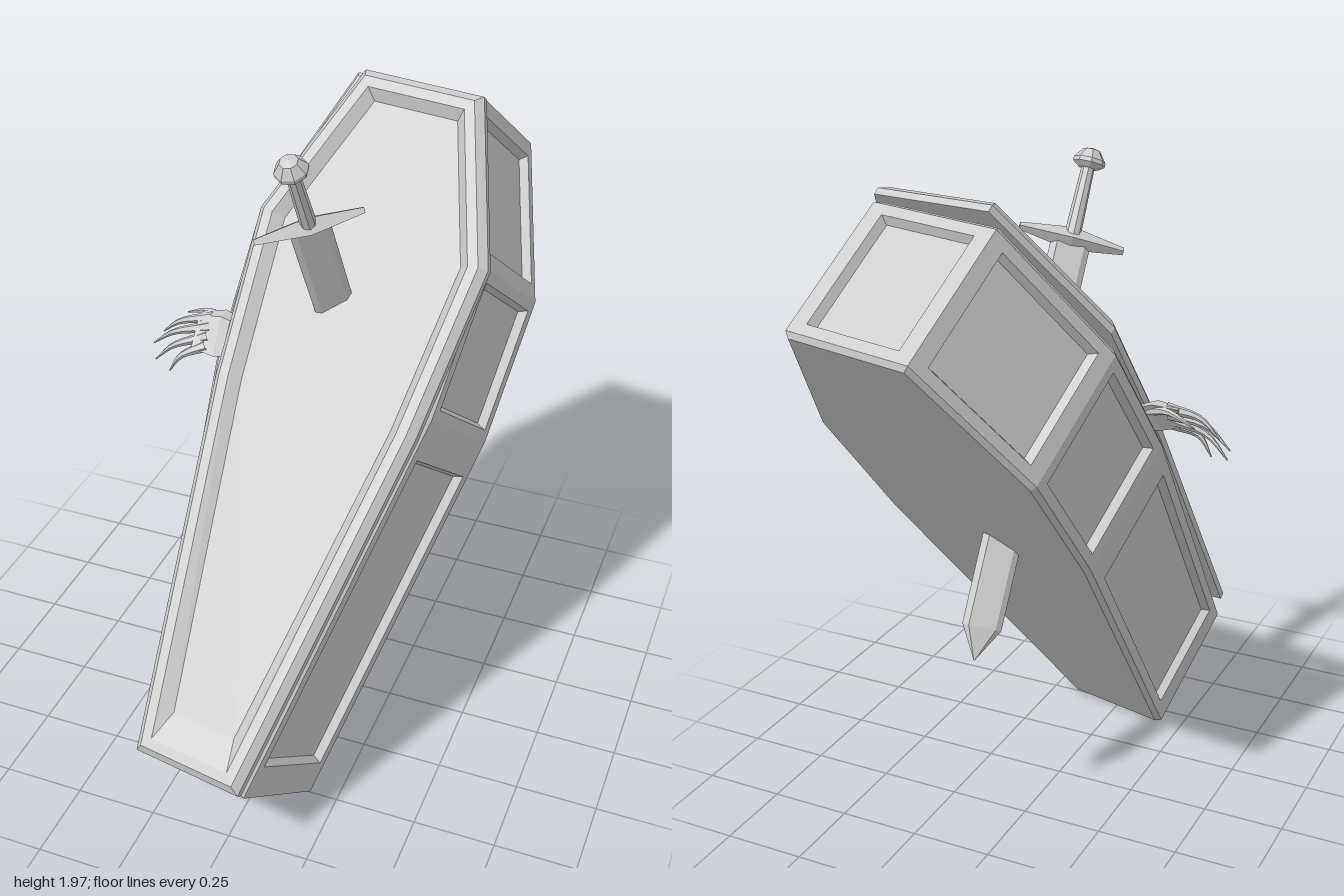
import * as THREE from 'three';

const V = (x, y, z) => new THREE.Vector3(x, y, z);
const material = new THREE.MeshStandardMaterial({ color: 0xcccccc, flatShading: true, side: THREE.DoubleSide });

function add(parent, name, geometry) {
  const mesh = new THREE.Mesh(geometry, material);
  mesh.name = name;
  parent.add(mesh);
  return mesh;
}

// Skin between successive rings of points; the last ring is capped, the first on request
function loft(rings, capStart = false) {
  const tris = [];
  const n = rings[0].length;
  for (let k = 0; k + 1 < rings.length; k++) {
    const a = rings[k], b = rings[k + 1];
    for (let i = 0; i < n; i++) {
      const j = (i + 1) % n;
      tris.push(a[i], a[j], b[j], a[i], b[j], b[i]);
    }
  }
  const first = rings[0], last = rings[rings.length - 1];
  for (let i = 1; i + 1 < n; i++) {
    tris.push(last[0], last[i], last[i + 1]);
    if (capStart) tris.push(first[0], first[i + 1], first[i]);
  }
  const geometry = new THREE.BufferGeometry().setFromPoints(tris);
  geometry.computeVertexNormals();
  return geometry;
}

// Eight-sided outline, counter-clockwise, from [half width, distance from foot] pairs
const outline = (half) => [
  ...half.map(([x, y]) => [x, y]),
  ...half.slice().reverse().map(([x, y]) => [-x, y]),
];

// Moves every edge of a convex outline inward by d
function inset(points, d) {
  const n = points.length;
  const normal = (p, q) => {
    const l = Math.hypot(q[0] - p[0], q[1] - p[1]);
    return [-(q[1] - p[1]) / l, (q[0] - p[0]) / l];
  };
  return points.map((p, i) => {
    const a = normal(points[(i + n - 1) % n], p), b = normal(p, points[(i + 1) % n]);
    const s = d / (1 + a[0] * b[0] + a[1] * b[1]);
    return [p[0] + (a[0] + b[0]) * s, p[1] + (a[1] + b[1]) * s];
  });
}

const atHeight = (points, z) => points.map(([x, y]) => V(x, y, z));

const DEPTH = 0.458;
const CHAMFER = 0.014;

function makeBox() {
  const box = new THREE.Group();
  box.name = 'box';
  const points = outline([[0.175, 0], [0.365, 1.18], [0.38, 1.63], [0.205, 2.1]]);
  // Opening margins at the start and end of each wall, from the foot round to the foot
  const margins = [[0.1, 0.12], [0.035, 0.035], [0.05, 0.05], [0.05, 0.05],
    [0.05, 0.05], [0.035, 0.035], [0.12, 0.1], [0.035, 0.035]];
  points.forEach((p, i) => {
    const q = points[(i + 1) % points.length];
    const dir = V(q[0] - p[0], q[1] - p[1], 0);
    const length = dir.length();
    dir.normalize();
    const up = V(0, 0, 1);
    const [a, b] = margins[i];
    const rect = (x0, x1, m, z) => [V(x0, m, z), V(x1, m, z), V(x1, DEPTH - m, z), V(x0, DEPTH - m, z)];
    const wall = add(box, 'framedWall', loft([
      rect(0, length, CHAMFER, 0),
      rect(a, length - b, 0.047, 0),
      rect(a + 0.012, length - b - 0.012, 0.059, -0.025),
    ]));
    wall.matrixAutoUpdate = false;
    wall.matrix.makeBasis(dir, up, dir.clone().cross(up)).setPosition(p[0], p[1], 0);
  });
  // Floor and top, each with a chamfered edge
  const small = inset(points, CHAMFER);
  add(box, 'boxFloor', loft([atHeight(points, CHAMFER).reverse(), atHeight(small, 0).reverse()]));
  add(box, 'boxTop', loft([atHeight(points, DEPTH - CHAMFER), atHeight(small, DEPTH)]));
  return box;
}

function makeLid() {
  const points = outline([[0.174, -0.01], [0.33, 1.09], [0.37, 1.6], [0.19, 2.065]]);
  // Chamfered rim around a sunken panel, with a longer slope at the foot
  const profile = [[0, 0], [0, 0.022], [0.022, 0.045], [0.052, 0.045], [0.082, 0.015]];
  const rings = profile.map(([d, z]) => atHeight(inset(points, d), z));
  const panel = rings[rings.length - 1];
  panel[0].y += 0.06;
  panel[panel.length - 1].y += 0.06;
  const lid = new THREE.Group();
  add(lid, 'lidPanel', loft(rings, true));
  lid.name = 'lid';
  // Left slightly ajar
  lid.position.set(0.008, 0.025, 0.487);
  lid.rotation.set(0, 0.045, -0.018);
  return lid;
}

function makeSword() {
  const sword = new THREE.Group();
  sword.name = 'sword';
  // Blade with a thin six-sided section and a short point
  const section = (y, s) => [[-0.058, 0], [-0.04, 0.012], [0.04, 0.012], [0.058, 0], [0.04, -0.012], [-0.04, -0.012]]
    .map(([x, z]) => V(x * s, y, z * s));
  add(sword, 'blade', loft([section(-1.25, 0.02), section(-1.15, 1), section(0, 1)], true));
  // Cross guard tapering towards both ends
  for (const side of [-1, 1]) {
    const arm = add(sword, 'guardArm', new THREE.CylinderGeometry(0.011, 0.034, 0.155, 4));
    arm.rotation.z = -side * Math.PI / 2;
    arm.position.x = side * 0.0775;
  }
  add(sword, 'grip', new THREE.CylinderGeometry(0.019, 0.024, 0.22, 8)).position.y = 0.115;
  // Mushroom-shaped pommel
  const pommel = [[0, 0.205], [0.03, 0.208], [0.047, 0.22], [0.047, 0.232], [0.026, 0.26], [0, 0.267]]
    .map(([x, y]) => new THREE.Vector2(x, y));
  add(sword, 'pommel', new THREE.LatheGeometry(pommel, 8));

  const across = V(0.265, 0.08, -0.14).normalize();
  const along = V(-0.02, 0.911, 0.41);
  along.addScaledVector(across, -along.dot(across)).normalize();
  const matrix = new THREE.Matrix4().makeBasis(across, along, across.clone().cross(along));
  sword.quaternion.setFromRotationMatrix(matrix);
  sword.position.set(0.014, 1.739, 0.112);
  return sword;
}

// Tube through points whose radius runs from r0 to r1
function taperedTube(points, r0, r1) {
  const curve = new THREE.CatmullRomCurve3(points);
  const steps = 8, sides = 6;
  const geometry = new THREE.TubeGeometry(curve, steps, 1, sides);
  const position = geometry.attributes.position;
  const p = V(0, 0, 0);
  for (let i = 0; i < position.count; i++) {
    const t = Math.floor(i / (sides + 1)) / steps;
    const centre = curve.getPointAt(t);
    p.fromBufferAttribute(position, i).sub(centre).multiplyScalar(r0 + (r1 - r0) * t).add(centre);
    position.setXYZ(i, p.x, p.y, p.z);
  }
  geometry.computeVertexNormals();
  return geometry;
}

function makeHand() {
  const hand = new THREE.Group();
  hand.name = 'hand';
  // Flat palm reaching out through the gap
  const slice = (x, top, bottom, zTop, zBottom, h) => [
    V(x, top, zTop - h), V(x, bottom, zBottom - h), V(x, bottom, zBottom + h), V(x, top, zTop + h)];
  add(hand, 'palm', loft([
    slice(-0.25, 1.31, 1.23, -0.02, 0.03, 0.016),
    slice(-0.31, 1.33, 1.23, -0.02, 0.045, 0.022),
    slice(-0.38, 1.32, 1.245, -0.012, 0.055, 0.014),
  ], true));
  // Clawed fingers curling down to sharp tips
  const tips = [V(-0.5, 1.24, 0), V(-0.525, 1.205, 0.02), V(-0.51, 1.165, 0.045), V(-0.45, 1.155, 0.075)];
  tips.forEach((tip, i) => {
    const base = V(-0.34, 1.315 - i * 0.022, -0.01 + i * 0.019);
    const joint = base.clone().lerp(tip, 0.55).add(V(-0.01, 0.018, 0.012));
    add(hand, 'finger', taperedTube([base, joint, tip], 0.018, 0.002));
  });
  add(hand, 'thumb', taperedTube([V(-0.28, 1.3, -0.01), V(-0.36, 1.315, -0.04), V(-0.446, 1.285, -0.06)], 0.018, 0.002));
  return hand;
}

export function createModel() {
  const model = new THREE.Group();
  model.name = 'coffinWithSword';

  // Coffin leaning back: local y runs foot to head, local z points out of the lid
  const coffin = new THREE.Group();
  coffin.name = 'coffin';
  coffin.add(makeBox(), makeLid());
  const long = V(0.094, 0.78, -0.618).normalize();
  const across = long.clone().cross(V(-0.173, 0.62, 0.767)).normalize();
  const out = across.clone().cross(long);
  coffin.quaternion.setFromRotationMatrix(new THREE.Matrix4().makeBasis(across, long, out));
  coffin.position.set(-0.002, 0.009, 0.463);

  model.add(coffin, makeSword(), makeHand());
  return model;
}
